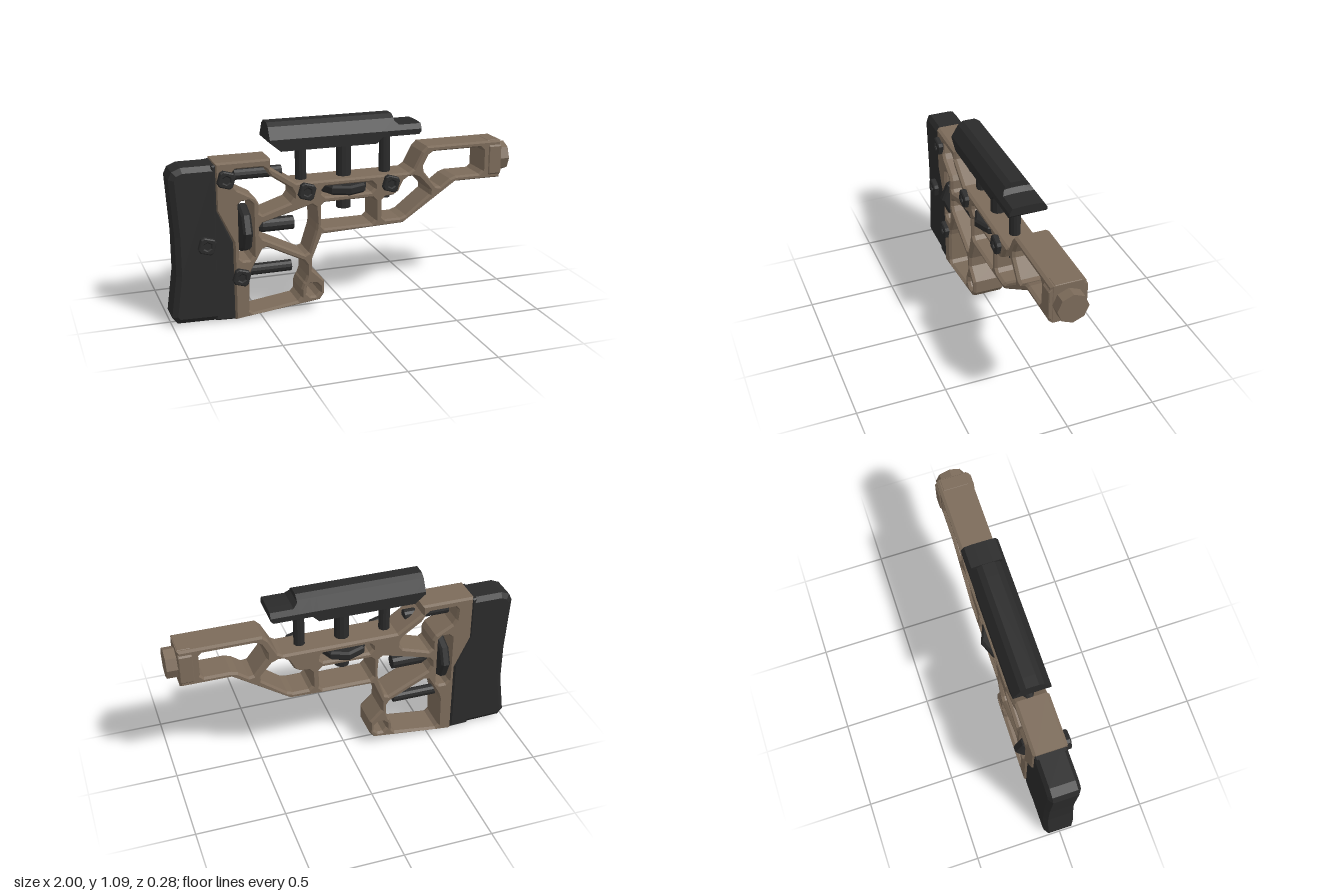
import * as THREE from 'three';

const tan = new THREE.MeshStandardMaterial({ color: 0x7c6b5a, flatShading: true });
tan.name = 'tan metal';
const black = new THREE.MeshStandardMaterial({ color: 0x2a2a2a, flatShading: true });
black.name = 'black';

const toPoints = (list) => list.map(([x, y]) => new THREE.Vector2(x, y));

// plate with bevelled edges, centred on z = 0
function plate(outline, holes, halfDepth, bevel, bevelDepth = bevel) {
  const shape = new THREE.Shape(toPoints(outline));
  shape.holes = holes.map((h) => new THREE.Path(toPoints(h)));
  const depth = 2 * (halfDepth - bevelDepth);
  const geo = new THREE.ExtrudeGeometry(shape, {
    depth, bevelEnabled: true, bevelSize: bevel, bevelOffset: -bevel,
    bevelThickness: bevelDepth, bevelSegments: 1,
  });
  return geo.translate(0, 0, -depth / 2);
}

// cut every corner of a polygon
function chamfer(corners, cut = 0.02) {
  const n = corners.length;
  const toward = ([x, y], [u, v]) => {
    const t = Math.min(0.4, cut / Math.hypot(u - x, v - y));
    return [x + (u - x) * t, y + (v - y) * t];
  };
  return corners.flatMap((p, i) => [
    toward(p, corners[(i + n - 1) % n]), toward(p, corners[(i + 1) % n]),
  ]);
}

const rect = (x0, y0, x1, y1) => chamfer([[x0, y0], [x1, y0], [x1, y1], [x0, y1]]);

const ring = (cx, cy, r, n) => Array.from({ length: n }, (_, i) => {
  const a = ((i + 0.5) / n) * Math.PI * 2;
  return [cx + r * Math.cos(a), cy + r * Math.sin(a)];
});

// solid lofted through matching cross-sections
function loft(sections) {
  const n = sections[0].length, index = [];
  for (let s = 0; s < sections.length - 1; s++) {
    for (let i = 0; i < n; i++) {
      const a = s * n + i, b = s * n + (i + 1) % n;
      index.push(a, b, a + n, b, b + n, a + n);
    }
  }
  const last = (sections.length - 1) * n;
  for (let i = 1; i < n - 1; i++) index.push(0, i + 1, i, last, last + i, last + i + 1);
  const geo = new THREE.BufferGeometry();
  geo.setAttribute('position', new THREE.Float32BufferAttribute(sections.flat(2), 3));
  geo.setIndex(index);
  const flat = geo.toNonIndexed();
  flat.computeVertexNormals();
  return flat;
}

export function createModel() {
  const model = new THREE.Group();
  const add = (name, geo, mat, x = 0, y = 0, z = 0) => {
    const mesh = new THREE.Mesh(geo, mat);
    mesh.name = name;
    mesh.position.set(x, y, z);
    model.add(mesh);
  };

  // skeleton frame with lightening holes
  const outline = [
    [-0.65, 0.01], [-0.16, 0.065], [-0.135, 0.1], [-0.135, 0.18], [-0.205, 0.25], [-0.205, 0.31],
    [-0.145, 0.455], [0.34, 0.47], [0.66, 0.685], [0.94, 0.685], [0.94, 0.905], [0.48, 0.905],
    [0.45, 0.875], [0.4, 0.78], [0.37, 0.762], [-0.29, 0.762], [-0.435, 0.86], [-0.435, 0.912],
    [-0.74, 0.912], [-0.74, 0.65], [-0.65, 0.46],
  ];
  const rearWindow = chamfer([[-0.65, 0.87], [-0.46, 0.87], [-0.45, 0.825], [-0.305, 0.725],
    [-0.305, 0.66], [-0.505, 0.595], [-0.505, 0.69], [-0.64, 0.765]]);
  const triangle = chamfer([[-0.505, 0.55], [-0.185, 0.637], [-0.175, 0.5], [-0.228, 0.335],
    [-0.505, 0.475]]);
  const lowerWindow = chamfer([[-0.57, 0.035], [-0.27, 0.075], [-0.27, 0.16], [-0.235, 0.2],
    [-0.235, 0.3], [-0.48, 0.423], [-0.565, 0.27]]);
  const bellyWindow = chamfer([[0.21, 0.5], [0.34, 0.5], [0.515, 0.635], [0.42, 0.742],
    [0.35, 0.738], [0.3, 0.642], [0.21, 0.635]]);
  const frontWindow = chamfer([[0.45, 0.775], [0.5, 0.873], [0.828, 0.873], [0.828, 0.715],
    [0.64, 0.715], [0.55, 0.65]]);
  const wheelSlots = [rect(-0.62, 0.35, -0.54, 0.69), rect(-0.145, 0.67, 0.165, 0.73)];
  add('frame', plate(outline, [
    rearWindow, triangle, lowerWindow, bellyWindow, frontWindow, ...wheelSlots,
    rect(-0.15, 0.485, 0.17, 0.638), ring(-0.2, 0.13, 0.042, 8), ring(-0.68, 0.645, 0.034, 6),
  ], 0.096, 0.009, 0.016), tan);

  // front mounting block and tenon
  const blockSection = chamfer([[-0.105, 0.683], [0.105, 0.683], [0.105, 0.907], [-0.105, 0.907]], 0.034);
  add('frontBlock', plate(blockSection, [], 0.038, 0.004).rotateY(Math.PI / 2), tan, 0.9);
  add('tenon', new THREE.CylinderGeometry(0.085, 0.085, 0.1, 8).rotateZ(Math.PI / 2), tan, 0.95, 0.793);

  // recoil pad and its base plate
  add('buttPad', plate([
    [-0.72, 0.9], [-0.92, 0.9], [-0.968, 0.88], [-0.987, 0.84], [-0.967, 0.52], [-0.967, 0.3],
    [-1, 0.06], [-0.97, 0.025], [-0.72, 0.018],
  ], [], 0.09, 0.028, 0.02), black);
  add('padBase', plate([
    [-0.76, 0.9], [-0.735, 0.9], [-0.735, 0.65], [-0.652, 0.46], [-0.652, 0.015], [-0.76, 0.02],
  ], [], 0.09, 0.008), black);

  // cheek rest: stations of x, underside and top height
  const stations = [[-0.44, 1.0, 1.1], [-0.38, 0.95, 1.1], [0.17, 0.95, 1.1], [0.205, 0.985, 1.1],
    [0.28, 0.985, 1.1], [0.281, 0.985, 1.07], [0.305, 0.985, 1.047], [0.42, 0.985, 1.047],
    [0.435, 1.0, 1.047]];
  add('cheekRest', loft(stations.map(([x, low, top]) => {
    const shoulder = Math.min(1.08, top - 0.004);
    const shoulderZ = 0.105 - 0.04 * (shoulder - 1.015) / 0.065;
    const half = [[0.035, top], [shoulderZ, shoulder], [0.105, 1.015], [0.105, low]];
    return [
      ...half.map(([z, y]) => [x, y, z]),
      ...half.reverse().map(([z, y]) => [x, y, -z]),
    ];
  })), black);

  // cheek rest pillars: x, radius, bottom, top
  for (const [x, r, low, top] of [[-0.24, 0.032, 0.61, 0.97], [0.01, 0.042, 0.575, 0.97],
    [0.255, 0.032, 0.61, 1.0]]) {
    add('cheekPillar', new THREE.CylinderGeometry(r, r, top - low, 12), black, x, (low + top) / 2);
  }

  // length adjustment rods: left end, right end, height, radius
  for (const [x0, x1, y, r] of [[-0.62, -0.355, 0.82, 0.032], [-0.47, -0.29, 0.515, 0.04],
    [-0.64, -0.305, 0.262, 0.032]]) {
    add('lengthRod', new THREE.CylinderGeometry(r, r, x1 - x0, 12).rotateZ(Math.PI / 2),
      black, (x0 + x1) / 2, y);
  }
  add('rodTip', new THREE.CylinderGeometry(0.018, 0.04, 0.045, 12).rotateZ(Math.PI / 2),
    black, -0.4925, 0.515);

  // octagonal thumb wheels
  const wheel = () => new THREE.LatheGeometry(toPoints([[0, -0.027], [0.125, -0.027],
    [0.138, -0.015], [0.138, 0.015], [0.125, 0.027], [0, 0.027]]), 8);
  add('cheekWheel', wheel(), black, 0.008, 0.702);
  add('lengthWheel', wheel().rotateZ(Math.PI / 2), black, -0.577, 0.515);

  // clamp knobs with a lobed rim and a socket
  const rim = Array.from({ length: 16 }, (_, i) => {
    const a = (i / 16) * Math.PI * 2 + 0.3;
    const r = i % 4 < 2 ? 0.053 : 0.045;
    return [r * Math.cos(a), r * Math.sin(a)];
  });
  for (const [x, y] of [[-0.685, 0.822], [-0.8, 0.465], [-0.615, 0.263], [-0.237, 0.715], [0.255, 0.715]]) {
    add('clampKnob', plate(rim, [ring(0, 0, 0.022, 6)], 0.018, 0.006), black, x, y, 0.107);
    add('knobScrew', new THREE.CylinderGeometry(0.024, 0.024, 0.03, 8).rotateX(Math.PI / 2),
      black, x, y, 0.1);
  }
  return model;
}
